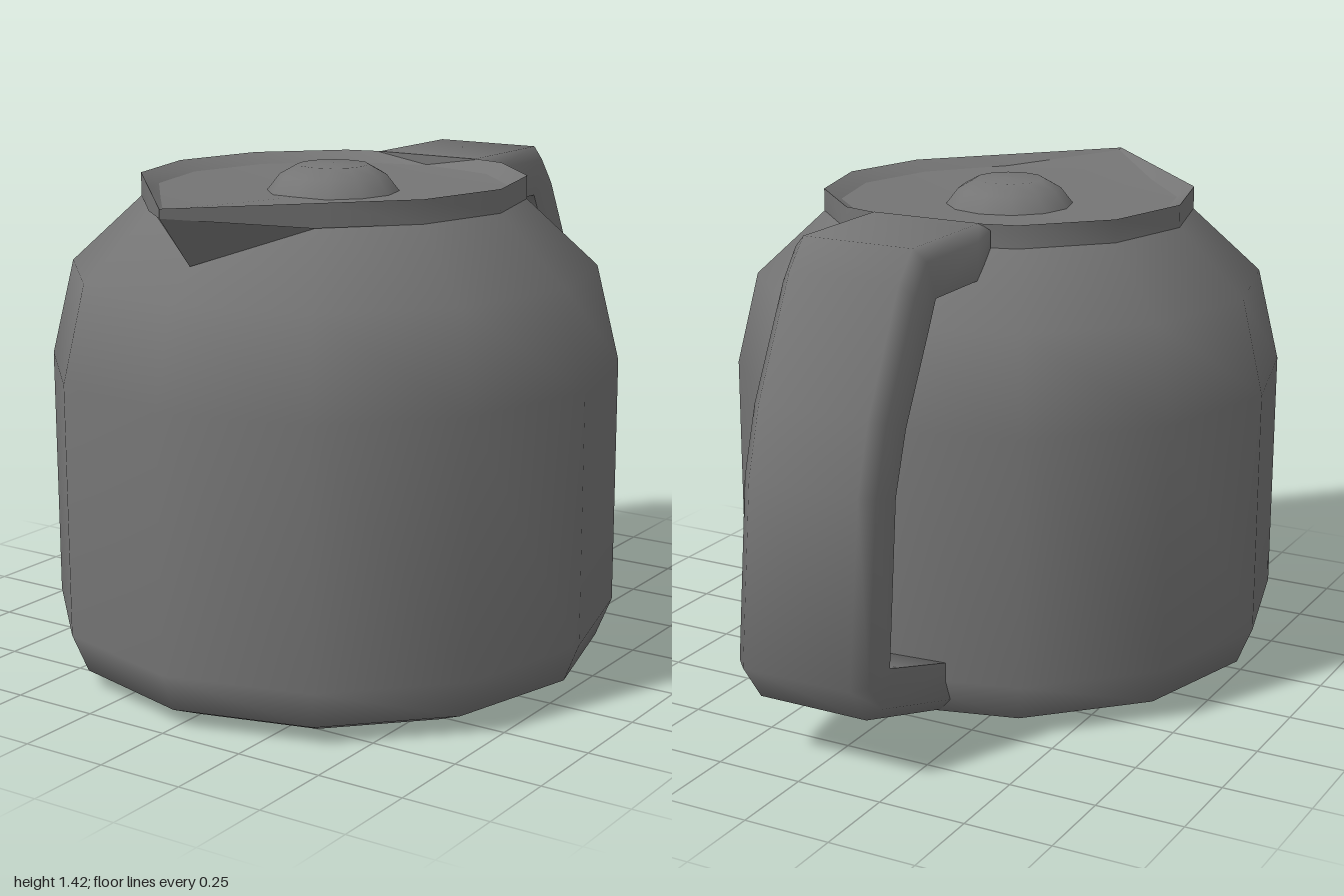
import * as THREE from 'three';
import { toCreasedNormals } from 'three/addons/utils/BufferGeometryUtils.js';

const COLOR = 0x757575;
const material = new THREE.MeshStandardMaterial({ color: COLOR });
const doubleMaterial = new THREE.MeshStandardMaterial({ color: COLOR, side: THREE.DoubleSide });
const SIDES = 12;
const CENTRE_Z = 0.192; // axis of the pot; the handle fills the space behind

// Skin a series of closed cross-sections, each a list of [x, y, z]
function loft(rings, crease) {
  const n = rings[0].length;
  const index = [];
  for (let i = 0; i < rings.length - 1; i++) {
    for (let j = 0; j < n; j++) {
      const a = i * n + j, b = i * n + (j + 1) % n;
      index.push(a, b, a + n, b, b + n, a + n);
    }
  }
  const geometry = new THREE.BufferGeometry();
  geometry.setAttribute('position', new THREE.Float32BufferAttribute(rings.flat(2), 3));
  geometry.setIndex(index);
  return toCreasedNormals(geometry, crease);
}

function addMesh(group, name, geometry, mat = material) {
  const mesh = new THREE.Mesh(geometry, mat);
  mesh.name = name;
  group.add(mesh);
  return mesh;
}

function lathe(profile) {
  return new THREE.LatheGeometry(profile.map(([r, y]) => new THREE.Vector2(r, y)), SIDES);
}

// Twelve-sided lid outline whose front is drawn out to a pouring tip
function lidRing(radius, y, tipZ, tipY) {
  const shoulderX = radius * Math.sin(Math.PI / 3);
  const shoulderZ = CENTRE_Z + radius / 2;
  return Array.from({ length: SIDES }, (_, i) => {
    if (i === 0) return [0, tipY, tipZ];
    const a = (i / SIDES) * Math.PI * 2;
    const x = radius * Math.sin(a);
    if (i === 1 || i === SIDES - 1) {
      const t = Math.abs(x) / shoulderX;
      return [x, y, tipZ + (shoulderZ - tipZ) * t];
    }
    return [x, y, CENTRE_Z + radius * Math.cos(a)];
  });
}

export function createModel() {
  const group = new THREE.Group();
  group.name = 'coffeePot';

  // Faceted pot with soft shading; its neck runs up inside the collar
  addMesh(group, 'body', lathe([
    [0.645, 0], [0.76, 0.05], [0.805, 0.16], [0.805, 0.87], [0.74, 1.14], [0.54, 1.325], [0.535, 1.36],
  ])).position.z = CENTRE_Z;
  const base = addMesh(group, 'base', new THREE.CircleGeometry(0.645, SIDES));
  base.rotation.x = Math.PI / 2;
  base.position.z = CENTRE_Z;

  // Collar with a bevelled rim, and the shallow dished top inside it
  const rimInner = lidRing(0.49, 1.36, 0.95, 1.385);
  addMesh(group, 'lidCollar', loft([
    lidRing(0.54, 1.325, 0.965, 1.365),
    lidRing(0.54, 1.39, 0.965, 1.39),
    rimInner,
  ], 0.6), doubleMaterial);
  const centre = Array.from({ length: SIDES }, () => [0, 1.335, CENTRE_Z]);
  addMesh(group, 'lidDish', loft([rimInner, centre], 0.6), doubleMaterial);

  // Underside of the spout, meeting the shoulder of the pot
  const spout = new THREE.BufferGeometry();
  spout.setAttribute('position', new THREE.Float32BufferAttribute([
    0, 1.225, 0.845, 0.27, 1.325, 0.66, 0, 1.365, 0.965,
    0, 1.225, 0.845, 0, 1.365, 0.965, -0.27, 1.325, 0.66,
  ], 3));
  spout.computeVertexNormals();
  addMesh(group, 'spout', spout, doubleMaterial);

  // Domed knob
  addMesh(group, 'knob', lathe([
    [0.195, 1.32], [0.185, 1.345], [0.15, 1.39], [0.1, 1.418], [0, 1.421],
  ])).position.z = CENTRE_Z;

  // Handle stations: outer z, y and inner z, y
  const stations = [
    [-0.3, 1.39, -0.3, 1.325],
    [-0.37, 1.39, -0.37, 1.25],
    [-0.66, 1.39, -0.6, 1.25],
    [-0.73, 1.31, -0.64, 1.17],
    [-0.89, 0.99, -0.76, 0.94],
    [-0.945, 0.8, -0.815, 0.77],
    [-1, 0.29, -0.855, 0.31],
    [-0.92, 0.18, -0.82, 0.298],
    [-0.48, 0.04, -0.5, 0.195],
  ];
  const sections = stations.map(([oz, oy, iz, iy]) => {
    const mz = oz + (iz - oz) * 0.25, my = oy + (iy - oy) * 0.25;
    return [
      [-0.165, oy, oz], [0.165, oy, oz], [0.2, my, mz],
      [0.2, iy, iz], [-0.2, iy, iz], [-0.2, my, mz],
    ];
  });
  const cap = ([oz, oy, iz, iy]) =>
    Array.from({ length: 6 }, () => [0, (oy + iy) / 2, (oz + iz) / 2]);
  addMesh(group, 'handle', loft(
    [cap(stations[0]), ...sections, cap(stations[stations.length - 1])], 1.15));

  return group;
}
